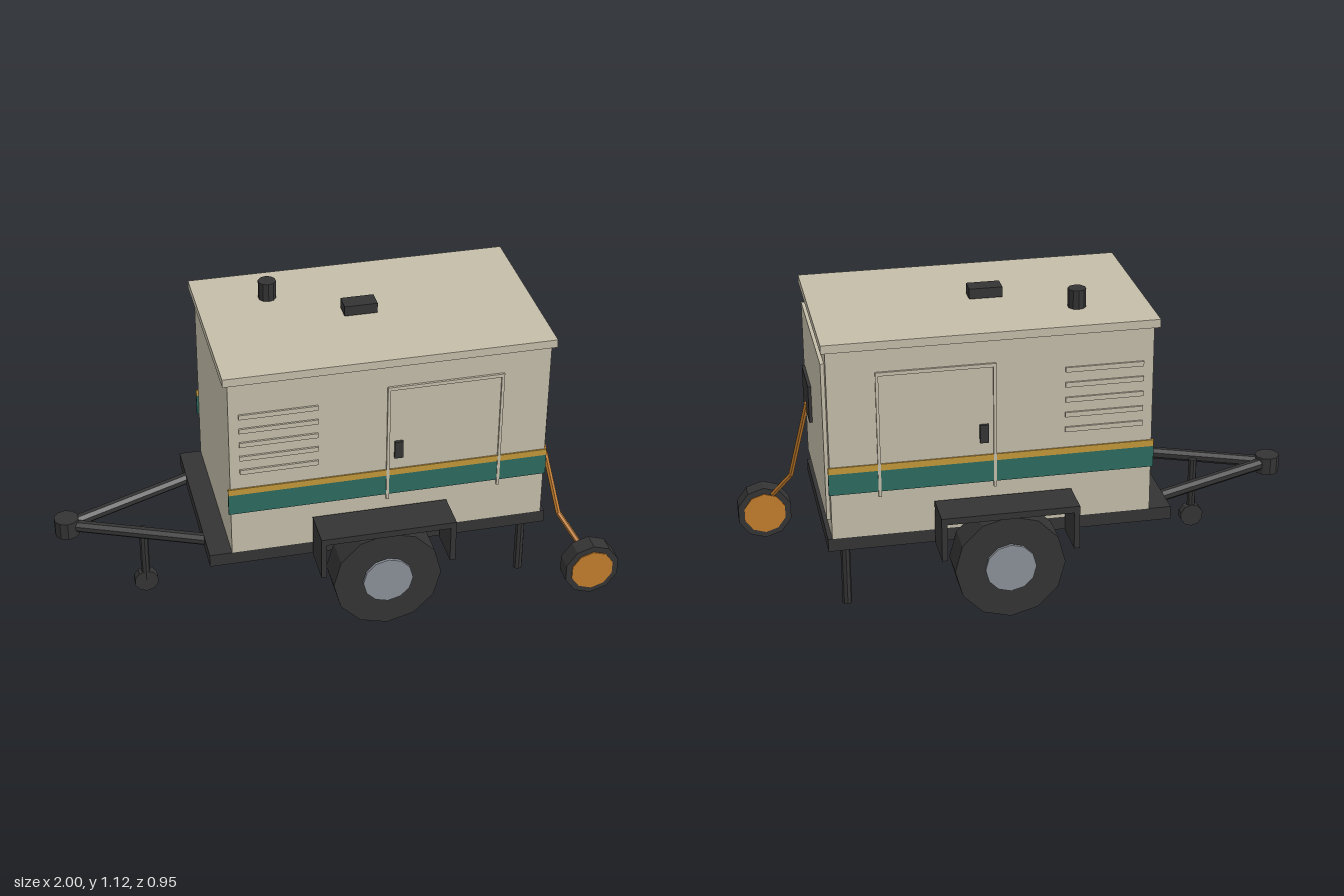
import * as THREE from 'three';

const flat = (name, color) => {
  const m = new THREE.MeshStandardMaterial({ color, flatShading: true });
  m.name = name;
  return m;
};

export function createModel() {
  const beige = flat('beige paint', 0xc4bda9);
  const dark = flat('dark metal', 0x343434);
  const green = flat('green stripe', 0x2d6b61);
  const gold = flat('gold stripe', 0xc2973a);
  const orange = flat('orange cable', 0xc27c2c);
  const grey = flat('grey hub', 0x8b9098);
  const model = new THREE.Group();
  model.name = 'generatorTrailer';

  const add = (name, geo, mat) => {
    const mesh = new THREE.Mesh(geo, mat);
    mesh.name = name;
    model.add(mesh);
    return mesh;
  };
  // Box given by its minimum and maximum on each axis
  const box = (name, mat, x0, x1, y0, y1, z0, z1) => {
    const mesh = add(name, new THREE.BoxGeometry(x1 - x0, y1 - y0, z1 - z0), mat);
    mesh.position.set((x0 + x1) / 2, (y0 + y1) / 2, (z0 + z1) / 2);
    return mesh;
  };
  // Box on one side, with z measured outwards from the middle
  const sideBox = (name, mat, s, x0, x1, y0, y1, z0, z1) =>
    box(name, mat, x0, x1, y0, y1, Math.min(s * z0, s * z1), Math.max(s * z0, s * z1));
  // Round bar between two points
  const rod = (name, mat, a, b, r, sides) => {
    const p = new THREE.Vector3(...a), q = new THREE.Vector3(...b);
    const d = q.clone().sub(p);
    const mesh = add(name, new THREE.CylinderGeometry(r, r, d.length(), sides), mat);
    mesh.position.copy(p).add(q).multiplyScalar(0.5);
    mesh.quaternion.setFromUnitVectors(new THREE.Vector3(0, 1, 0), d.normalize());
    return mesh;
  };
  // Round disc whose axis runs along z
  const disc = (name, mat, x, y, z0, z1, r, sides) => {
    const geo = new THREE.CylinderGeometry(r, r, Math.abs(z1 - z0), sides);
    geo.rotateX(Math.PI / 2);
    const mesh = add(name, geo, mat);
    mesh.position.set(x, y, (z0 + z1) / 2);
    return mesh;
  };

  // Chassis, housing and roof
  box('chassis', dark, -0.49, 0.735, 0.28, 0.328, -0.325, 0.325);
  box('housing', beige, -0.41, 0.72, 0.328, 1.026, -0.325, 0.325);
  box('roof', beige, -0.428, 0.735, 1.026, 1.056, -0.34, 0.34);

  // Roof fittings
  rod('exhaust', dark, [-0.175, 1.05, -0.163], [-0.175, 1.124, -0.163], 0.032, 10);
  box('roofVent', dark, 0.06, 0.178, 1.06, 1.097, -0.032, 0.032);

  // End panel and socket plate
  box('endPanel', beige, 0.719, 0.733, 0.387, 0.97, -0.29, 0.29);
  box('socketPlate', dark, 0.732, 0.744, 0.595, 0.735, 0.067, 0.263);

  for (const s of [1, -1]) {
    // Stripes
    sideBox('greenStripe', green, s, -0.418, 0.726, 0.497, 0.576, 0.321, 0.33);
    sideBox('goldStripe', gold, s, -0.418, 0.726, 0.576, 0.6, 0.321, 0.33);

    // Door frame and handle
    for (const x of [0.147, 0.55]) {
      sideBox('doorPost', beige, s, x - 0.005, x + 0.005, 0.477, 0.94, 0.324, 0.333);
    }
    sideBox('doorRail', beige, s, 0.142, 0.555, 0.927, 0.94, 0.324, 0.333);
    sideBox('doorHandle', dark, s, 0.17, 0.2, 0.648, 0.715, 0.324, 0.336);

    // Air louvres
    for (let i = 0; i < 5; i++) {
      const y = 0.893 - i * 0.056;
      sideBox('louvre', beige, s, -0.375, -0.1, y - 0.009, y + 0.009, 0.324, 0.332);
    }

    // Mudguard
    sideBox('mudguardTop', dark, s, -0.122, 0.362, 0.418, 0.442, 0.333, 0.474);
    for (const x of [-0.122, 0.342]) {
      sideBox('mudguardEnd', dark, s, x, x + 0.02, 0.28, 0.42, 0.333, 0.474);
    }

    // Wheel
    disc('tyre', dark, 0.12, 0.225, s * 0.342, s * 0.461, 0.195, 12);
    disc('hub', grey, 0.12, 0.225, s * 0.4, s * 0.471, 0.09, 12);
    rod('axle', dark, [0.12, 0.225, 0], [0.12, 0.225, s * 0.35], 0.02, 8).visible = false;

    // Rear support leg and drawbar arm
    rod('supportLeg', dark, [0.67, 0.037, s * 0.26], [0.67, 0.29, s * 0.26], 0.017, 8);
    rod('drawbarArm', dark, [-0.955, 0.305, 0], [-0.47, 0.305, s * 0.2], 0.022, 8);
  }

  // Coupling and jockey wheel
  rod('coupling', dark, [-0.955, 0.27, 0], [-0.955, 0.336, 0], 0.045, 10);
  rod('jockeyPost', dark, [-0.69, 0.08, 0.08], [-0.69, 0.305, 0.08], 0.016, 8);
  disc('jockeyWheel', dark, -0.69, 0.075, 0.062, 0.095, 0.044, 10);

  // Cable running to its reel
  const path = [[0.742, 0.63, 0.163], [0.802, 0.285, 0.293], [0.868, 0.18, 0.357]];
  for (let i = 0; i < path.length - 1; i++) {
    rod('cable', orange, path[i], path[i + 1], 0.01, 6);
  }
  disc('reel', dark, 0.901, 0.1035, 0.358, 0.423, 0.1035, 10);
  disc('reelFace', orange, 0.901, 0.1035, 0.354, 0.427, 0.08, 10);

  // Drop the hidden axle halves
  model.children.filter((m) => !m.visible).forEach((m) => model.remove(m));
  return model;
}
